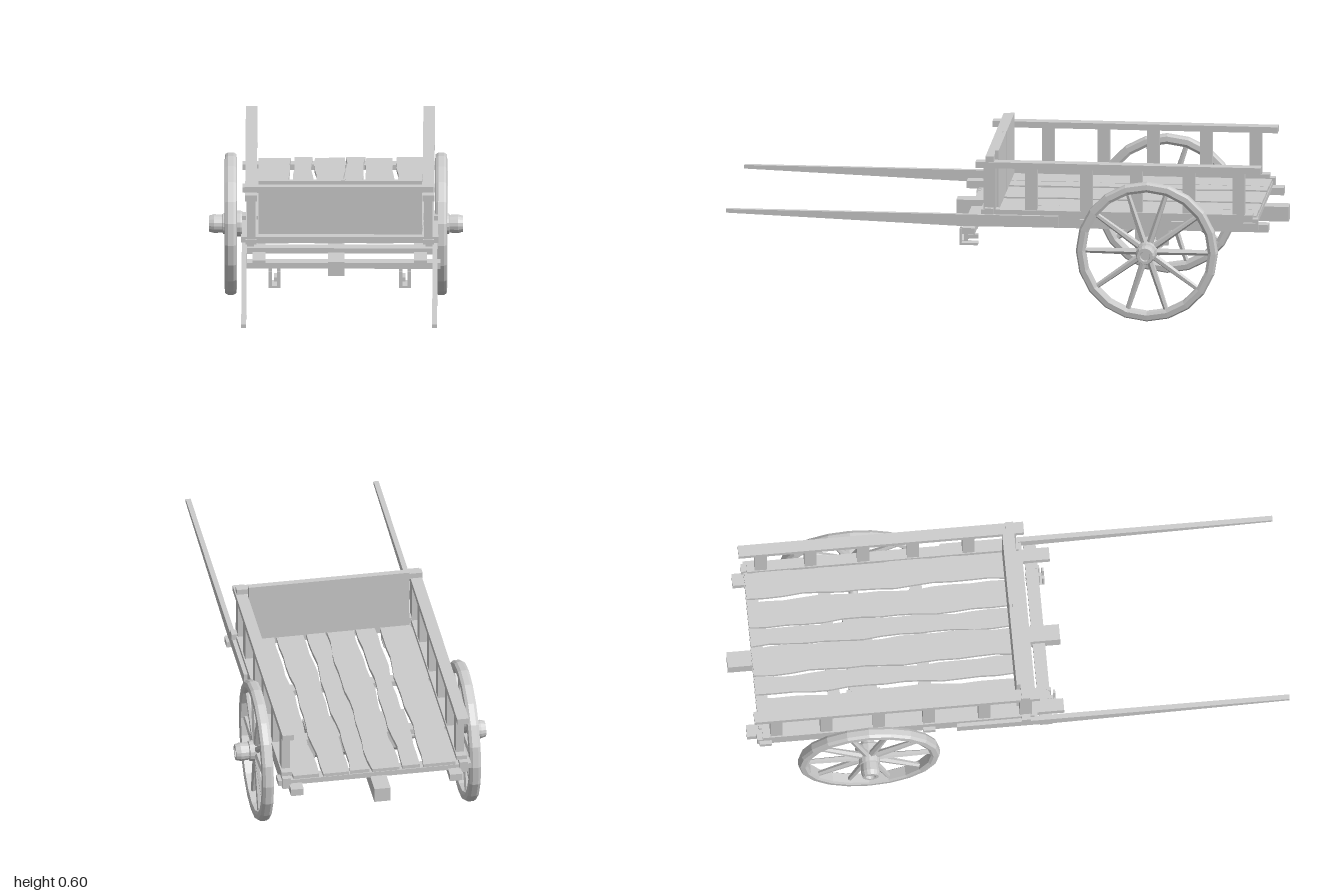
import * as THREE from 'three';

const wood = new THREE.MeshStandardMaterial({ color: 0xcccccc, flatShading: true });
const smooth = new THREE.MeshStandardMaterial({ color: 0xcccccc });

function add(parent, name, geo, mat = wood) {
  const m = new THREE.Mesh(geo, mat);
  m.name = name;
  parent.add(m);
  return m;
}

// box given by its limits on each axis
function box(parent, name, x0, x1, y0, y1, z0, z1) {
  const m = add(parent, name, new THREE.BoxGeometry(x1 - x0, y1 - y0, z1 - z0));
  m.position.set((x0 + x1) / 2, (y0 + y1) / 2, (z0 + z1) / 2);
  return m;
}

function lathe(points, segments) {
  return new THREE.LatheGeometry(points.map(p => new THREE.Vector2(...p)), segments);
}

// wheel with its axis on y, outer side towards +y
function makeWheel() {
  const wheel = new THREE.Group();
  wheel.name = 'wheel';
  add(wheel, 'rim', lathe([[0.222, -0.017], [0.222, 0.017], [0.232, 0.022], [0.25, 0.02], [0.256, 0.01],
    [0.256, -0.01], [0.25, -0.02], [0.232, -0.022], [0.222, -0.017]].reverse(), 20));
  add(wheel, 'hub', lathe([[0, -0.043], [0.043, -0.043], [0.047, -0.035], [0.047, -0.015], [0.04, -0.01],
    [0.037, 0.028], [0.032, 0.03], [0.034, 0.06], [0.029, 0.078], [0.019, 0.078], [0.017, 0.068], [0, 0.068]], 16));
  const spokes = 10;
  for (let i = 0; i < spokes; i++) {
    const a = (i / spokes) * Math.PI * 2;
    const s = add(wheel, 'spoke', new THREE.CylinderGeometry(0.009, 0.013, 0.2, 6));
    s.rotation.set(Math.PI / 2, 0, -a, 'ZXY');
    s.position.set(Math.sin(a) * 0.13, 0, Math.cos(a) * 0.13);
    s.quaternion.setFromUnitVectors(new THREE.Vector3(0, 1, 0), s.position.clone().normalize());
  }
  return wheel;
}

// floor plank with gently wandering edges
function plank(x0, x1, seed) {
  const s = new THREE.Shape(), n = 14, z0 = -0.91, z1 = 0.03;
  const wave = (t, k) => 0.004 * Math.sin(t * 11 + k * 2.3) + 0.003 * Math.sin(t * 27 + k * 4.1);
  for (let i = 0; i <= n; i++) {
    const t = i / n, x = x0 + (x0 > -0.28 ? wave(t, seed) : 0), y = -(z0 + (z1 - z0) * t);
    i ? s.lineTo(x, y) : s.moveTo(x, y);
  }
  for (let i = n; i >= 0; i--) {
    const t = i / n;
    s.lineTo(x1 + (x1 < 0.3 ? wave(t, seed + 0.7) : 0), -(z0 + (z1 - z0) * t));
  }
  return new THREE.ExtrudeGeometry(s, { depth: 0.014, bevelEnabled: false }).rotateX(-Math.PI / 2);
}

// pull shaft, thinning towards its front tip
function shaftGeometry() {
  const s = new THREE.Shape();
  [[1, 0.363], [1, 0.376], [0.15, 0.376], [-0.2, 0.376], [-0.2, 0.335], [0.15, 0.333]]
    .forEach(([z, y], i) => (i ? s.lineTo(-z, y) : s.moveTo(-z, y)));
  return new THREE.ExtrudeGeometry(s, { depth: 0.018, bevelEnabled: false })
    .translate(0, 0, -0.009).rotateY(Math.PI / 2);
}

export function createModel() {
  const cart = new THREE.Group();
  cart.name = 'handcart';

  // wheels and axle
  for (const side of [1, -1]) {
    const w = makeWheel();
    w.rotation.z = -side * Math.PI / 2;
    w.position.set(side * 0.378, 0.257, -0.522);
    cart.add(w);
    const arm = add(cart, 'axleArm', lathe([[0.015, 0.15], [0.017, 0.27], [0.023, 0.275], [0.024, 0.345], [0, 0.345]], 14), smooth);
    arm.rotation.z = -side * Math.PI / 2;
    arm.position.set(0, 0.263, -0.522);
  }
  const bolster = new THREE.Shape();
  [[-0.05, 0.34], [-0.05, 0.245], [-0.035, 0.226], [0.035, 0.226], [0.05, 0.245], [0.05, 0.34]]
    .forEach(([z, y], i) => (i ? bolster.lineTo(z, y) : bolster.moveTo(z, y)));
  const block = add(cart, 'axleBlock', new THREE.ExtrudeGeometry(bolster, { depth: 0.34, bevelEnabled: false })
    .translate(0, 0, -0.17).rotateY(Math.PI / 2));
  block.position.set(0.015, 0, -0.522);

  // body sits slightly to one side of the wheel centre
  const body = new THREE.Group();
  body.name = 'body';
  body.position.x = 0.015;
  cart.add(body);

  // undercarriage beams
  box(body, 'centreBeam', -0.042, 0.017, 0.296, 0.35, -1, 0.2);
  for (const side of [1, -1]) {
    const sx = (name, a, b, ...r) => box(body, name, Math.min(side * a, side * b), Math.max(side * a, side * b), ...r);
    sx('axleBracket', 0.16, 0.185, 0.238, 0.335, -0.582, -0.462);
    sx('underBeam', 0.267, 0.313, 0.325, 0.352, -0.955, 0.19);
    sx('sideBeam', 0.308, 0.338, 0.336, 0.378, -0.92, 0.07);
    const shaft = add(body, 'pullShaft', shaftGeometry());
    shaft.position.x = side * 0.343;

    // railing: sill, posts and top rail
    sx('sill', 0.3, 0.338, 0.376, 0.393, -0.9, 0.08);
    sx('topRail', 0.298, 0.34, 0.546, 0.568, -0.93, 0.1);
    for (const z of [0.05, -0.1, -0.3, -0.48, -0.67, -0.85])
      sx('railPost', 0.303, 0.333, 0.376, 0.55, z - 0.022, z + 0.022);

    // hanging hooks under the front bar
    for (const dx of [0, 0.03]) {
      const x = 0.213 + dx;
      sx('hookStem', x, x + 0.013, 0.255, 0.33, 0.135, 0.15);
      sx('hookTop', x, x + 0.013, 0.3, 0.312, 0.1, 0.15);
      sx('hookBack', x, x + 0.013, 0.24, 0.3, 0.158, 0.166);
    }
    sx('hookFoot', 0.213, 0.256, 0.24, 0.248, 0.1, 0.166);
    sx('hookCatch', 0.213, 0.236, 0.26, 0.275, 0.1, 0.15);
  }
  box(body, 'frontBar', -0.345, 0.362, 0.306, 0.328, 0.1, 0.145);
  for (const z of [0.07, -0.3, -0.63, -0.89])
    box(body, 'crossBeam', -0.352, 0.352, 0.346, 0.366, z - 0.022, z + 0.022);

  // floor planks
  [[-0.295, -0.182], [-0.165, -0.1], [-0.09, 0.012], [0.018, 0.085], [0.094, 0.19], [0.203, 0.297]].forEach(([a, b], i) => {
    const p = add(body, 'floorPlank', plank(a, b, i));
    p.position.y = 0.364 + (i % 2) * 0.003;
  });

  // front board with its cross rails
  box(body, 'frontBoard', -0.292, 0.005, 0.38, 0.602, 0.02, 0.034);
  box(body, 'frontBoard', 0.018, 0.295, 0.38, 0.602, 0.02, 0.034);
  box(body, 'boardStrip', 0.004, 0.019, 0.38, 0.602, 0.021, 0.031);
  box(body, 'frontTopRail', -0.342, 0.336, 0.566, 0.588, 0.034, 0.064);
  box(body, 'frontSill', -0.355, 0.355, 0.378, 0.4, 0.034, 0.066);

  return cart;
}
